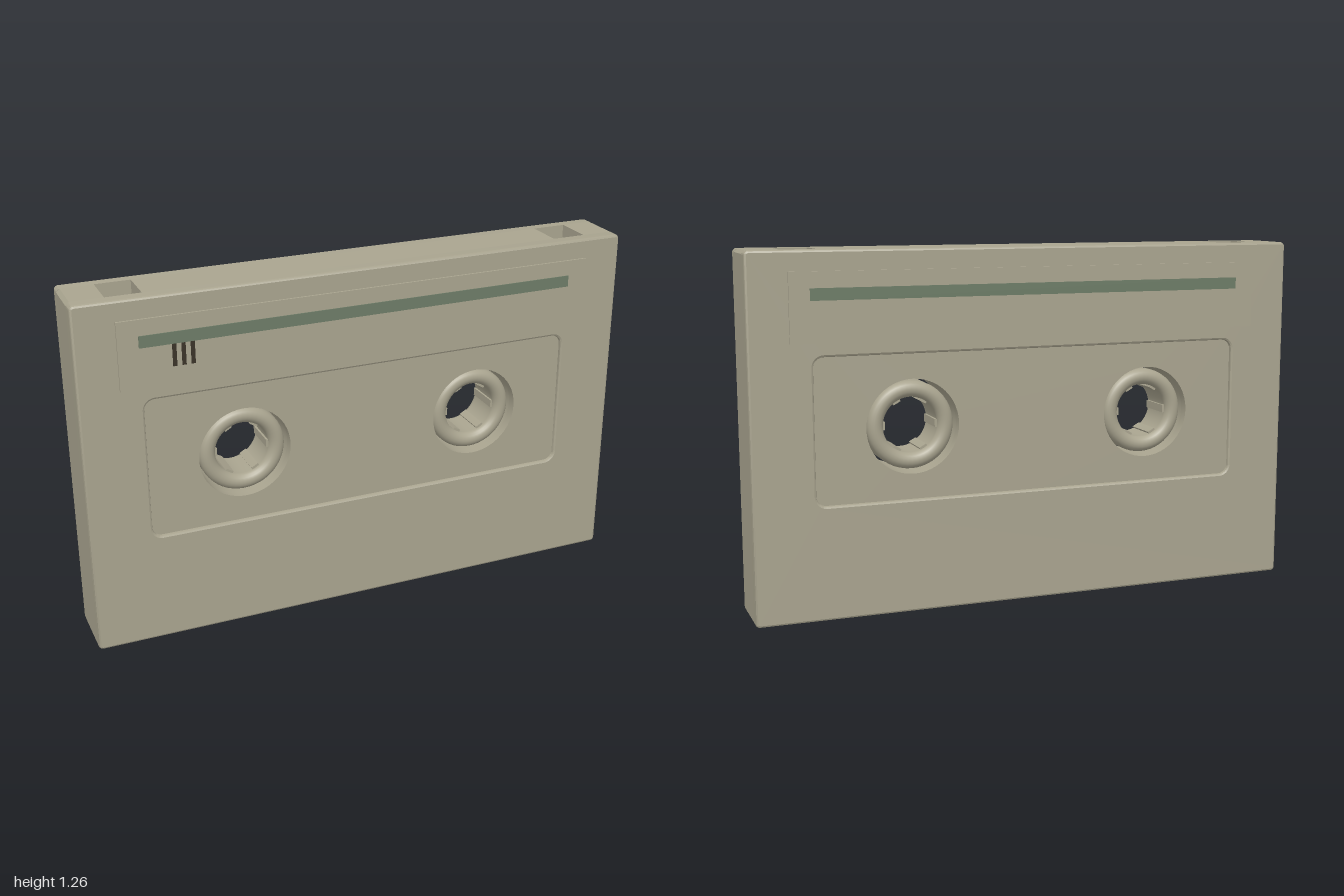
import * as THREE from 'three';
import { toCreasedNormals } from 'three/addons/utils/BufferGeometryUtils.js';

const W = 1, H = 1.26, REEL_X = 0.44, REEL_Y = 0.653;
const POCKET = { x0: 0.755, x1: 0.877, z: 0.07, depth: 0.06 };

const mat = (name, color) => new THREE.MeshStandardMaterial({ name, color });

// Rounded rectangle traced on a Shape or Path
function roundRect(path, x0, y0, x1, y1, r) {
  path.moveTo(x0 + r, y0);
  path.lineTo(x1 - r, y0);
  path.absarc(x1 - r, y0 + r, r, -Math.PI / 2, 0);
  path.lineTo(x1, y1 - r);
  path.absarc(x1 - r, y1 - r, r, 0, Math.PI / 2);
  path.lineTo(x0 + r, y1);
  path.absarc(x0 + r, y1 - r, r, Math.PI / 2, Math.PI);
  path.lineTo(x0, y0 + r);
  path.absarc(x0 + r, y0 + r, r, Math.PI, Math.PI * 1.5);
  return path;
}

function addReelHoles(shape) {
  for (const s of [-1, 1]) {
    shape.holes.push(new THREE.Path().absarc(s * REEL_X, REEL_Y, 0.165, 0, Math.PI * 2, true));
  }
  return shape;
}

// Extrusion between two z levels
function slab(shape, z0, z1, options = {}) {
  const g = new THREE.ExtrudeGeometry(shape, {
    depth: z1 - z0, bevelEnabled: false, curveSegments: 24, ...options,
  });
  g.translate(0, 0, z0);
  return toCreasedNormals(g, 0.5);
}

export function createModel() {
  const shellMat = mat('shell beige', 0xa9a48f);
  const stripeMat = mat('stripe green', 0x6d7c67);
  const markMat = mat('mark brown', 0x3a3328);
  const blackMat = mat('tab black', 0x111110);

  const model = new THREE.Group();
  model.name = 'cassette';
  const add = (name, geometry, material, parent = model) => {
    const m = new THREE.Mesh(geometry, material);
    m.name = name;
    parent.add(m);
    return m;
  };
  const box = (name, x0, x1, y0, y1, z0, z1, material) => {
    const m = add(name, new THREE.BoxGeometry(x1 - x0, y1 - y0, z1 - z0), material);
    m.position.set((x0 + x1) / 2, (y0 + y1) / 2, (z0 + z1) / 2);
    return m;
  };

  // Middle layer, notched along the top for the two pockets
  const core = new THREE.Shape();
  const floor = H - POCKET.depth;
  core.moveTo(-W + 0.012, 0);
  core.lineTo(W - 0.012, 0);
  core.lineTo(W, 0.012);
  core.lineTo(W, H - 0.012);
  core.lineTo(W - 0.012, H);
  for (const [a, b] of [[POCKET.x1, POCKET.x0], [-POCKET.x0, -POCKET.x1]]) {
    core.lineTo(a, H);
    core.lineTo(a, floor);
    core.lineTo(b, floor);
    core.lineTo(b, H);
  }
  core.lineTo(-W + 0.012, H);
  core.lineTo(-W, H - 0.012);
  core.lineTo(-W, 0.012);
  add('shellCore', slab(addReelHoles(core), -POCKET.z, POCKET.z), shellMat);

  // Outer layers and bevelled rims framing the recessed reel panels
  const side = addReelHoles(roundRect(new THREE.Shape(), -W, 0, W, H, 0.015));
  const rim = roundRect(new THREE.Shape(), -W, 0, W, H, 0.015);
  rim.holes.push(roundRect(new THREE.Path(), -0.782, 0.4, 0.782, 0.905, 0.035));
  for (const s of [-1, 1]) {
    const name = s > 0 ? 'front' : 'back';
    const z = 0.105;
    add(name + 'Shell', s > 0 ? slab(side, POCKET.z, z) : slab(side, -z, -POCKET.z), shellMat);
    add(name + 'Rim', slab(rim, s * z - 0.001, s * z + 0.001, {
      bevelEnabled: true, bevelThickness: 0.011, bevelSize: 0.008, bevelOffset: 0, bevelSegments: 2,
      curveSegments: 6,
      ...{ bevelOffset: -0.008 },
    }), shellMat);

    // Raised label with a long stripe
    const plate = (part, x0, x1, y0, y1, z0, z1, m) =>
      box(name + part, x0, x1, y0, y1, Math.min(s * z0, s * z1), Math.max(s * z0, s * z1), m);
    plate('Label', -0.86, 0.86, 0.953, 1.19, 0.115, 0.124, shellMat);
    plate('Stripe', -0.79, 0.79, 1.094, 1.135, 0.122, 0.127, stripeMat);
  }

  // Three short marks on the front label
  for (let i = 0; i < 3; i++) {
    const x = -0.674 + i * 0.031;
    box('labelMark', x - 0.007, x + 0.007, 1.016, 1.096, 0.122, 0.126, markMat);
  }

  // Small dark tab on the floor of one pocket
  box('pocketTab', 0.756, 0.776, floor, floor + 0.006, -0.04, 0.035, blackMat);

  // Reel hubs: rounded rings with six inner teeth
  const rIn = 0.097, rOut = 0.154, half = 0.09;
  const rTube = (rOut - rIn) / 2, rMid = (rOut + rIn) / 2;
  const profile = [];
  for (const [start, y] of [[0, half - rTube], [Math.PI, rTube - half]]) {
    for (let i = 0; i <= 10; i++) {
      const a = start + (i / 10) * Math.PI;
      profile.push(new THREE.Vector2(rMid + Math.cos(a) * rTube, y + Math.sin(a) * rTube));
    }
  }
  profile.push(profile[0].clone());
  const hubGeo = new THREE.LatheGeometry(profile, 48).rotateX(Math.PI / 2);
  const toothGeo = new THREE.BoxGeometry(0.02, 0.028, 0.13);
  for (const s of [-1, 1]) {
    const reel = new THREE.Group();
    reel.name = s > 0 ? 'leftReel' : 'rightReel';
    reel.position.set(s * REEL_X, REEL_Y, 0);
    add('hub', hubGeo, shellMat, reel);
    for (let i = 0; i < 6; i++) {
      const a = (i * Math.PI) / 3;
      const tooth = add('tooth', toothGeo, shellMat, reel);
      tooth.position.set(Math.cos(a) * 0.099, Math.sin(a) * 0.099, 0);
      tooth.rotation.z = a;
    }
    model.add(reel);
  }
  return model;
}
